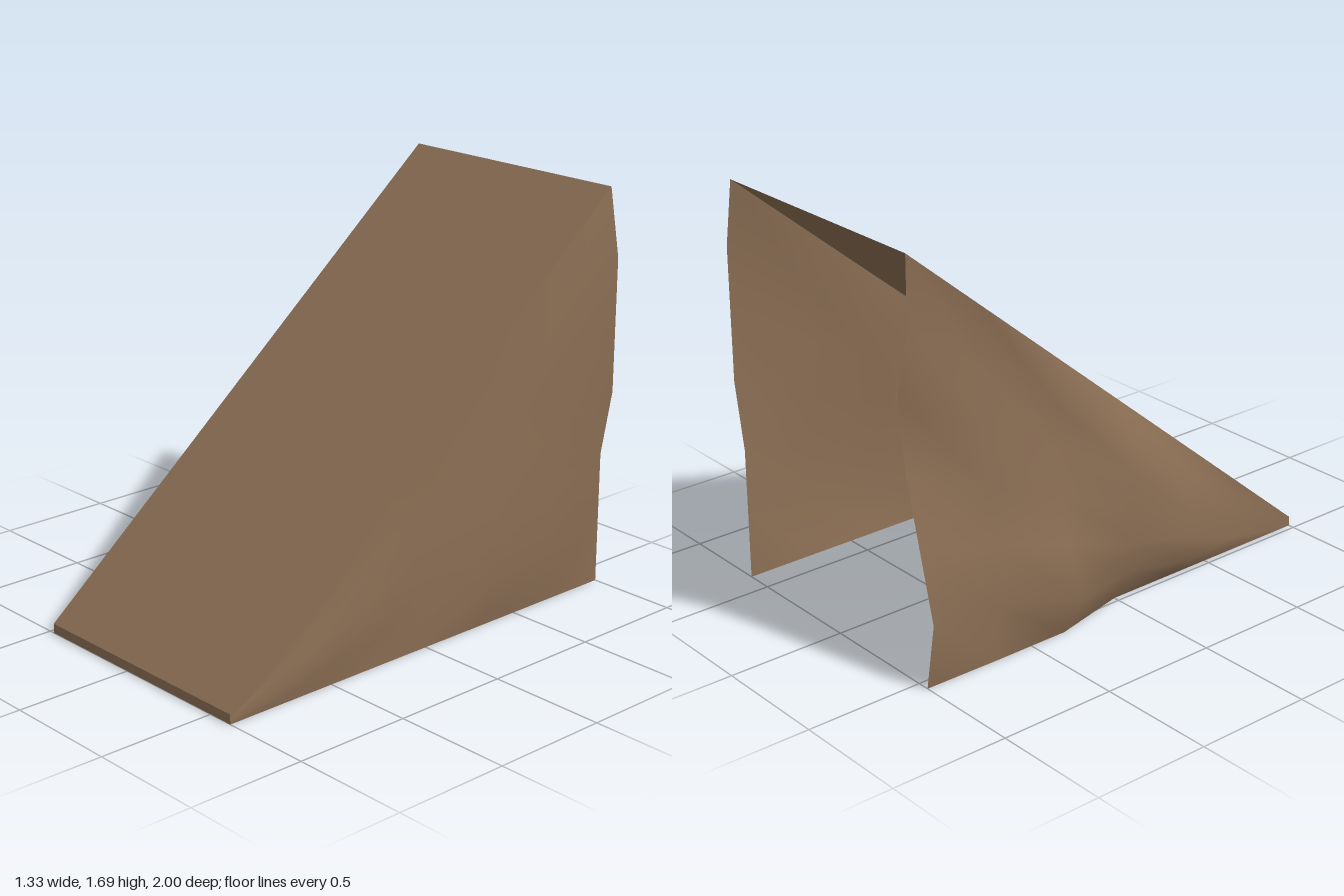
import * as THREE from 'three';

const N = 6; // divisions along each side wall
const LIP = 0.04, TOP = 1.69;
const RIGHT = -0.475, LEFT = 0.613;
const heightAt = (z) => LIP + (TOP - LIP) * (1 - z) / 2;

// Side wall: columns run from back (z = -1) to front, rows from ground to ramp edge.
// bumps holds the outward bulge of each inner point, in hundredths.
function wallGeometry(x, outward, bumps) {
  const pos = [], idx = [];
  for (let i = 0; i <= N; i++) {
    const z = -1 + (2 * i) / N;
    for (let k = 0; k <= N; k++) {
      pos.push(x + outward * bumps[i][k] / 100, heightAt(z) * k / N, z);
      if (i === N || k === N) continue;
      const a = i * (N + 1) + k, b = a + 1, c = a + N + 1, d = c + 1;
      if (outward > 0) idx.push(a, b, c, b, d, c);
      else idx.push(a, c, b, b, c, d);
    }
  }
  const g = new THREE.BufferGeometry();
  g.setAttribute('position', new THREE.Float32BufferAttribute(pos, 3));
  g.setIndex(idx);
  g.computeVertexNormals();
  return g;
}

// Flat panel spanning the ramp's width between two (y, z) edges
function panelGeometry(y0, z0, y1, z1) {
  const g = new THREE.BufferGeometry();
  g.setAttribute('position', new THREE.Float32BufferAttribute(
    [RIGHT, y0, z0, LEFT, y0, z0, LEFT, y1, z1, RIGHT, y1, z1], 3));
  g.setIndex([0, 1, 2, 0, 2, 3]);
  g.computeVertexNormals();
  return g;
}

export function createModel() {
  const group = new THREE.Group();
  group.name = 'ramp';
  const earth = new THREE.MeshStandardMaterial({ color: 0x8b6e54, side: THREE.DoubleSide });
  earth.name = 'earth brown';
  const add = (name, geometry) => {
    const mesh = new THREE.Mesh(geometry, earth);
    mesh.name = name;
    group.add(mesh);
  };

  // Sloping deck and the low lip at its front; back and underside stay open
  add('rampDeck', panelGeometry(LIP, 1, TOP, -1));
  add('frontLip', panelGeometry(0, 1, LIP, 1));

  // Uneven side walls
  add('rightWall', wallGeometry(RIGHT, -1, [
    [7.5, 12, 4.5, -3, -6.5, 0, 0],
    [8, 8, 6, 3, 4, -4, 0],
    [8, 19, 10, 5, 1, 1.5, 0],
    [0, 8, 12, 12, 12, 8.5, 0],
    [0, 8.5, 8.5, 8, 6, 3, 0],
    [0, 0, 0, 0, 0, 0, 0],
    [0, 0, 0, 0, 0, 0, 0],
  ]));
  add('leftWall', wallGeometry(LEFT, 1, [
    [0, 0, 0, 5, 5, 5, 0],
    [0, 5, 3, 2, 2, 2, 0],
    [0, 3, 4, 3, 1, 0, 0],
    [0, 0, 0, 0, 0, 0, 0],
    [0, 1, 2.5, 2, 1, 0, 0],
    [0, 1, 1.2, 1, 0, 0, 0],
    [0, 0, 0, 0, 0, 0, 0],
  ]));
  return group;
}
